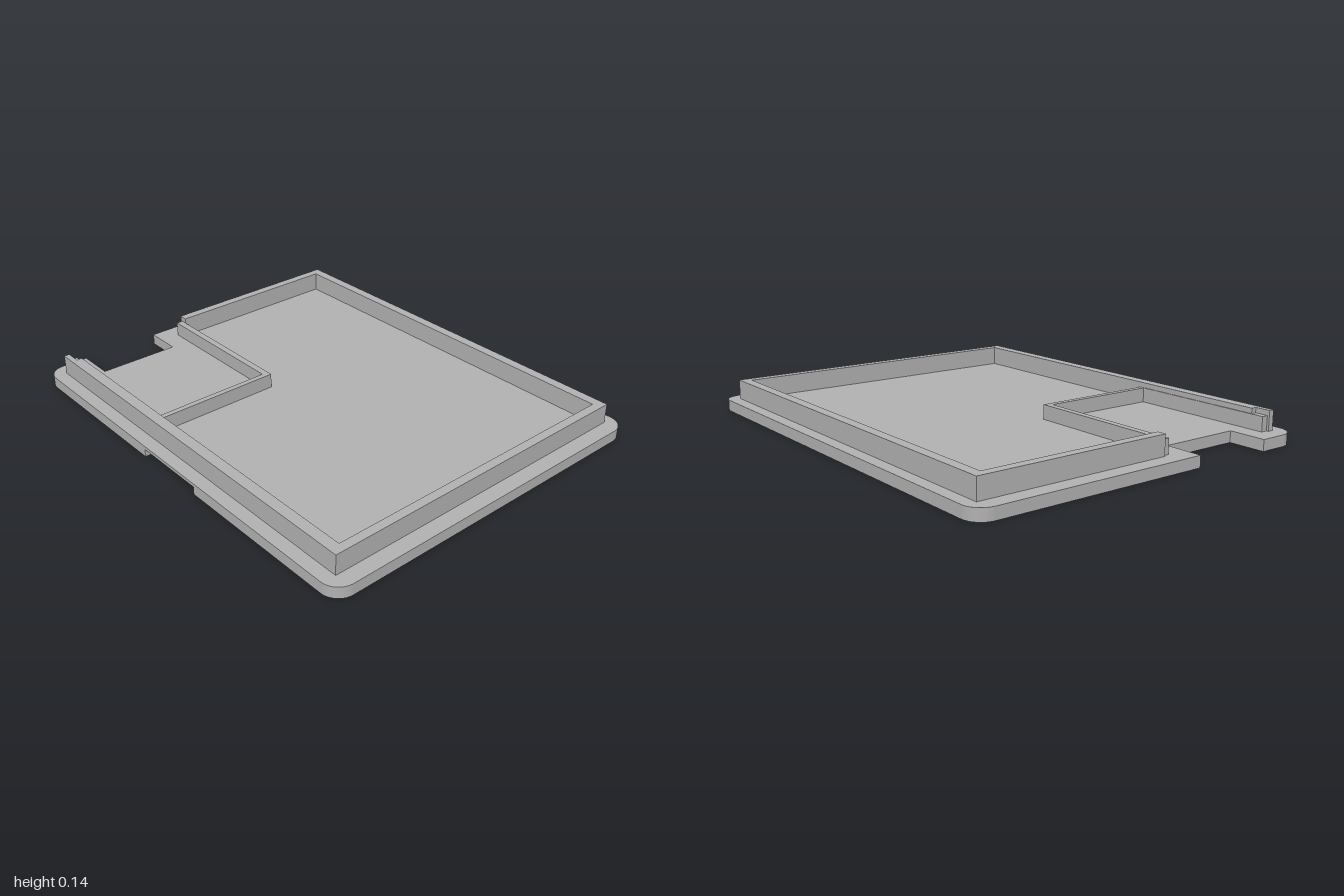
import * as THREE from 'three';

const plastic = new THREE.MeshStandardMaterial({ color: 0xb0b0b0 });
plastic.name = 'grey plastic';

// Extrude a plan outline (x, z) upwards from y0 to y1
function slab(name, shape, y0, y1) {
  const geo = new THREE.ExtrudeGeometry(shape, { depth: y1 - y0, bevelEnabled: false, curveSegments: 10 });
  geo.rotateX(-Math.PI / 2);
  geo.translate(0, y0, 0);
  const mesh = new THREE.Mesh(geo, plastic);
  mesh.name = name;
  return mesh;
}

const outline = (points) => new THREE.Shape(points.map(([x, z]) => new THREE.Vector2(x, -z)));

// Rounded plate with the side cut-out, and optionally the pry slot in the front edge
function plateShape(frontSlot) {
  const X = 1, Z = 0.81, r = 0.08;
  const s = new THREE.Shape();
  s.moveTo(-X + r, -Z);
  if (frontSlot) {
    s.lineTo(-0.175, -Z);
    s.lineTo(-0.175, -Z + 0.03);
    s.lineTo(0.17, -Z + 0.03);
    s.lineTo(0.17, -Z);
  }
  s.lineTo(X - r, -Z);
  s.absarc(X - r, -Z + r, r, -Math.PI / 2, 0);
  s.lineTo(X, Z - r);
  s.absarc(X - r, Z - r, r, 0, Math.PI / 2);
  s.lineTo(-X + r, Z);
  s.absarc(-X + r, Z - r, r, Math.PI / 2, Math.PI);
  s.lineTo(-X, -0.24);
  s.lineTo(-0.83, -0.24);
  s.lineTo(-0.83, -0.61);
  s.lineTo(-X, -0.61);
  s.lineTo(-X, -Z + r);
  s.absarc(-X + r, -Z + r, r, Math.PI, Math.PI * 1.5);
  return s;
}

export function createModel() {
  const model = new THREE.Group();
  model.name = 'caseLid';

  // Base plate in two layers, the lower one slotted
  model.add(slab('lowerPlate', plateShape(true), 0, 0.035));
  model.add(slab('upperPlate', plateShape(false), 0.035, 0.05));

  // Tall rim, open beside the cut-out
  model.add(slab('rim', outline([
    [-0.93, 0.12], [-0.93, -0.755], [0.93, -0.755], [0.93, 0.75],
    [-0.93, 0.75], [-0.93, 0.725], [-0.86, 0.725], [-0.86, 0.70],
    [0.89, 0.70], [0.89, -0.71], [-0.89, -0.71], [-0.89, 0.12],
  ]), 0.05, 0.138));

  // Lower wall around the pocket
  model.add(slab('pocketWall', outline([
    [-0.92, 0.12], [-0.22, 0.12], [-0.22, 0.725], [-0.92, 0.725],
    [-0.92, 0.695], [-0.245, 0.695], [-0.245, 0.15], [-0.92, 0.15],
  ]), 0.05, 0.115));

  return model;
}
